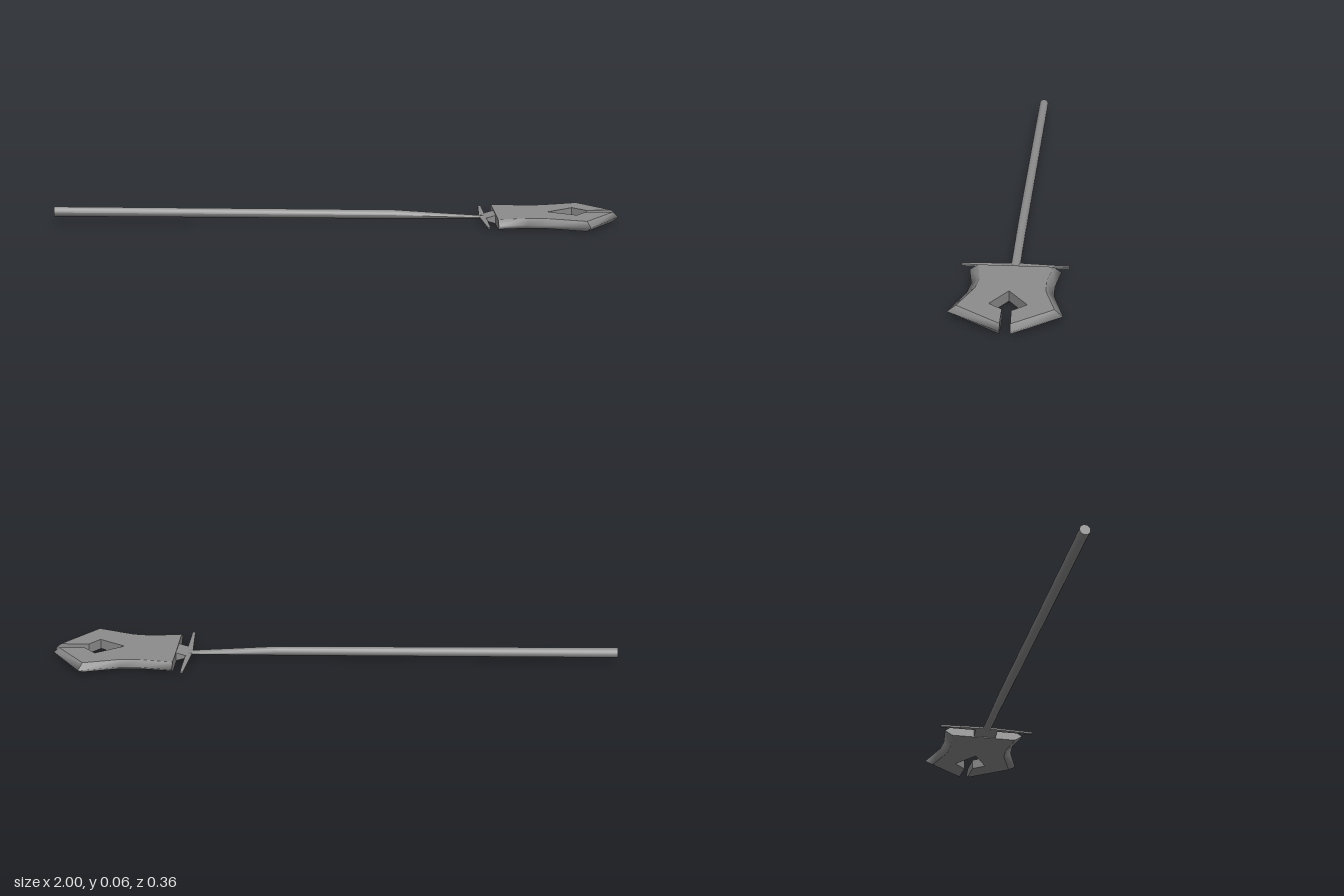
import * as THREE from 'three';

const material = new THREE.MeshStandardMaterial({ color: 0x8c8c8c });

function addMesh(group, geometry, name) {
  geometry.computeVertexNormals();
  const mesh = new THREE.Mesh(geometry, material);
  mesh.name = name;
  group.add(mesh);
}

// Long round shaft, flattened towards the head
function shaftGeometry() {
  // x, centre y, centre z, half height, half width
  const stations = [
    [-1, 0.0475, 0.008, 0.0175, 0.0175],
    [0.2, 0.03, -0.001, 0.016, 0.0165],
    [0.53, 0.0175, -0.004, 0.004, 0.015],
  ];
  const geometry = new THREE.CylinderGeometry(1, 1, 1, 16, 2);
  const p = geometry.attributes.position;
  for (let i = 0; i < p.count; i++) {
    const [x, cy, cz, h, w] = stations[Math.round((p.getY(i) + 0.5) * 2)];
    p.setXYZ(i, x, cy - p.getX(i) * h, cz + p.getZ(i) * w);
  }
  return geometry;
}

// Slab with bevelled outer edges: a wide middle ring between two inset faces
function headGeometry() {
  // outer x, outer z, inset x, inset z, whether the corner is smooth
  const outline = [
    [0.555, 0.143, 0.555, 0.115, false],
    [0.66, 0.127, 0.66, 0.1, true],
    [0.73, 0.134, 0.73, 0.107, true],
    [0.87, 0.181, 0.86, 0.153, false],
    [0.995, 0.006, 0.975, 0.007, false],
    [0.875, 0.009, 0.875, 0.009, false],
    [0.84, 0.053, 0.84, 0.053, false],
    [0.745, -0.002, 0.745, -0.002, false],
    [0.84, -0.067, 0.84, -0.067, false],
    [0.885, -0.021, 0.885, -0.021, false],
    [0.995, -0.027, 0.975, -0.026, false],
    [0.88, -0.181, 0.868, -0.153, false],
    [0.74, -0.145, 0.74, -0.118, true],
    [0.67, -0.142, 0.67, -0.115, true],
    [0.555, -0.157, 0.555, -0.129, false],
  ];
  const positions = [];
  const index = [];
  // One column of vertices: bottom, middle, top
  const addColumn = ([x, z, ix, iz]) => {
    positions.push(ix, 0, iz, x, 0.018, z, ix, 0.036, iz);
    return positions.length / 3 - 3;
  };
  let end = 0;
  outline.forEach((point, i) => {
    const start = point[4] ? end : addColumn(point);
    end = addColumn(outline[(i + 1) % outline.length]);
    for (const k of [0, 1]) {
      const [a, b] = [start + k, end + k];
      index.push(a, b, b + 1, a, b + 1, a + 1);
    }
  });
  // Flat faces
  const contour = outline.map(([, , x, z]) => new THREE.Vector2(x, -z));
  const bottom = positions.length / 3;
  const top = bottom + contour.length;
  for (const y of [0, 0.036]) {
    for (const v of contour) positions.push(v.x, y, -v.y);
  }
  for (const [a, b, c] of THREE.ShapeUtils.triangulateShape(contour, [])) {
    index.push(a + top, b + top, c + top, c + bottom, b + bottom, a + bottom);
  }
  const geometry = new THREE.BufferGeometry();
  geometry.setAttribute('position', new THREE.Float32BufferAttribute(positions, 3));
  geometry.setIndex(index);
  return geometry;
}

// Thin crossbar, straight towards the head and tapering to its ends
function guardGeometry() {
  const rows = [[-0.18, 0.513], [-0.005, 0.5], [0.173, 0.513]]; // z, rear x
  const geometry = new THREE.BoxGeometry(1, 0.006, 1, 1, 1, 2);
  const p = geometry.attributes.position;
  for (let i = 0; i < p.count; i++) {
    const [z, rear] = rows[Math.round((p.getZ(i) + 0.5) * 2)];
    p.setXYZ(i, p.getX(i) > 0 ? 0.523 : rear, 0.018 + p.getY(i), z);
  }
  return geometry;
}

// Wedge that thickens from the crossbar to the head
function neckGeometry() {
  const geometry = new THREE.BoxGeometry(0.045, 2, 0.083);
  const p = geometry.attributes.position;
  for (let i = 0; i < p.count; i++) {
    const half = p.getX(i) > 0 ? 0.0165 : 0.003;
    p.setXYZ(i, 0.5375 + p.getX(i), 0.018 + p.getY(i) * half, p.getZ(i) - 0.003);
  }
  return geometry;
}

export function createModel() {
  const group = new THREE.Group();
  group.name = 'staff';
  addMesh(group, shaftGeometry(), 'shaft');
  addMesh(group, guardGeometry(), 'guard');
  addMesh(group, neckGeometry(), 'neck');
  addMesh(group, headGeometry(), 'head');
  return group;
}
